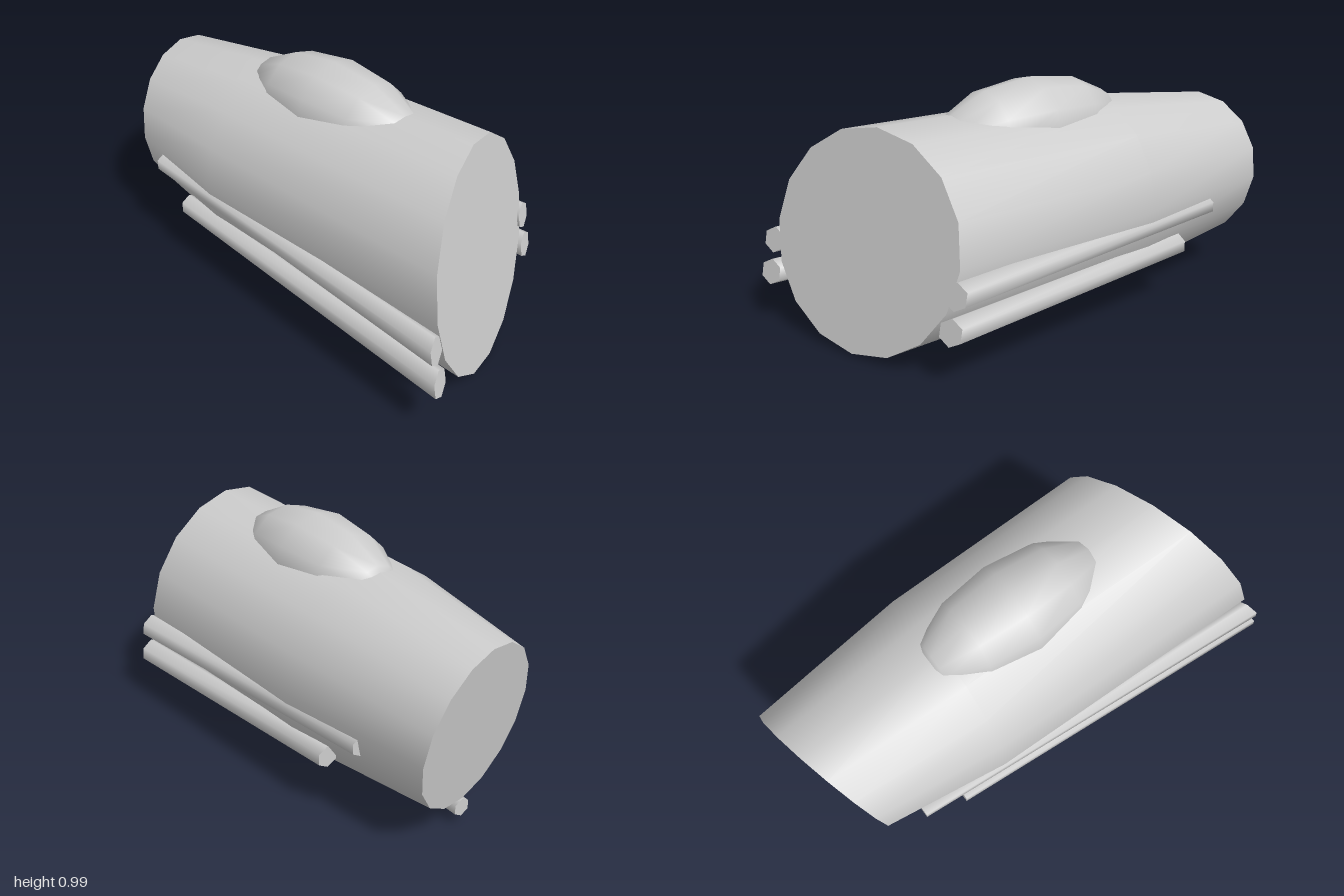
import * as THREE from 'three';

const hull = new THREE.MeshStandardMaterial({ color: 0xcccccc });
hull.name = 'hull grey';

// Smooth tube through rings ordered front to back, with flat end caps.
// ring: { x, y, z, r, sx, sy } where sx and sy tilt the ring's z across x and y
function loft(name, sides, rings) {
  const pos = [], index = [];
  const point = (g, i) => {
    const a = (i / sides) * Math.PI * 2;
    const dx = g.r * Math.sin(a), dy = g.r * Math.cos(a);
    return [g.x + dx, g.y + dy, g.z + dx * (g.sx || 0) + dy * (g.sy || 0)];
  };
  rings.forEach((g, k) => {
    for (let i = 0; i < sides; i++) {
      pos.push(...point(g, i));
      if (k === rings.length - 1) continue;
      const a = k * sides + i, b = k * sides + (i + 1) % sides;
      index.push(a, b, a + sides, b, b + sides, a + sides);
    }
  });
  // Caps use their own vertices so their rims stay sharp
  [[rings[0], true], [rings[rings.length - 1], false]].forEach(([g, front]) => {
    const c = pos.length / 3;
    pos.push(g.x, g.y, g.z);
    for (let i = 0; i < sides; i++) pos.push(...point(g, i));
    for (let i = 0; i < sides; i++) {
      const p = c + 1 + i, q = c + 1 + (i + 1) % sides;
      index.push(c, front ? q : p, front ? p : q);
    }
  });
  const geo = new THREE.BufferGeometry();
  geo.setAttribute('position', new THREE.Float32BufferAttribute(pos, 3));
  geo.setIndex(index);
  geo.computeVertexNormals();
  const mesh = new THREE.Mesh(geo, hull);
  mesh.name = name;
  return mesh;
}

export function createModel() {
  const model = new THREE.Group();
  model.name = 'fuselage';

  // Main barrel, ends cut at a slant
  model.add(loft('body', 16, [
    { x: 0.008, y: 0.4525, z: 0.81, r: 0.44, sx: -0.33, sy: -0.18 },
    { x: 0.006, y: 0.456, z: -0.3, r: 0.415 },
    { x: 0, y: 0.448, z: -0.91, r: 0.335, sx: -0.24, sy: -0.144 },
  ]));

  // Bulge on the top
  const dome = new THREE.Mesh(new THREE.SphereGeometry(1, 12, 6).rotateX(Math.PI / 2).scale(0.212, 0.205, 0.435), hull);
  dome.name = 'topDome';
  dome.position.set(0.008, 0.784, 0.03);
  model.add(dome);

  // Two hexagonal pipes along each side, converging to the rear
  for (const s of [1, -1]) {
    const side = s > 0 ? 'left' : 'right';
    const front = s > 0 ? 0.69 : 0.975;
    const cx = s > 0 ? 0.005 : 0;
    model.add(loft(side + 'UpperPipe', 6, [
      { x: s * 0.453, y: 0.361, z: front, r: 0.054, sx: -0.33, sy: -0.18 },
      { x: cx + s * 0.345, y: 0.385, z: -0.68, r: 0.042 },
    ]));
    model.add(loft(side + 'LowerPipe', 6, [
      { x: s * 0.453, y: 0.227, z: front + 0.025, r: 0.054, sx: -0.33, sy: -0.18 },
      { x: cx + s * 0.358, y: 0.25, z: -0.5, r: 0.046 },
    ]));
  }

  // Belly barrel with its collar
  model.add(loft('bellyBarrel', 6, [
    { x: 0.005, y: 0.085, z: -0.25, r: 0.04 },
    { x: 0.005, y: 0.073, z: -0.865, r: 0.038 },
  ]));
  model.add(loft('bellyCollar', 6, [
    { x: 0.005, y: 0.066, z: -0.62, r: 0.066 },
    { x: 0.005, y: 0.066, z: -0.67, r: 0.066 },
  ]));

  return model;
}
